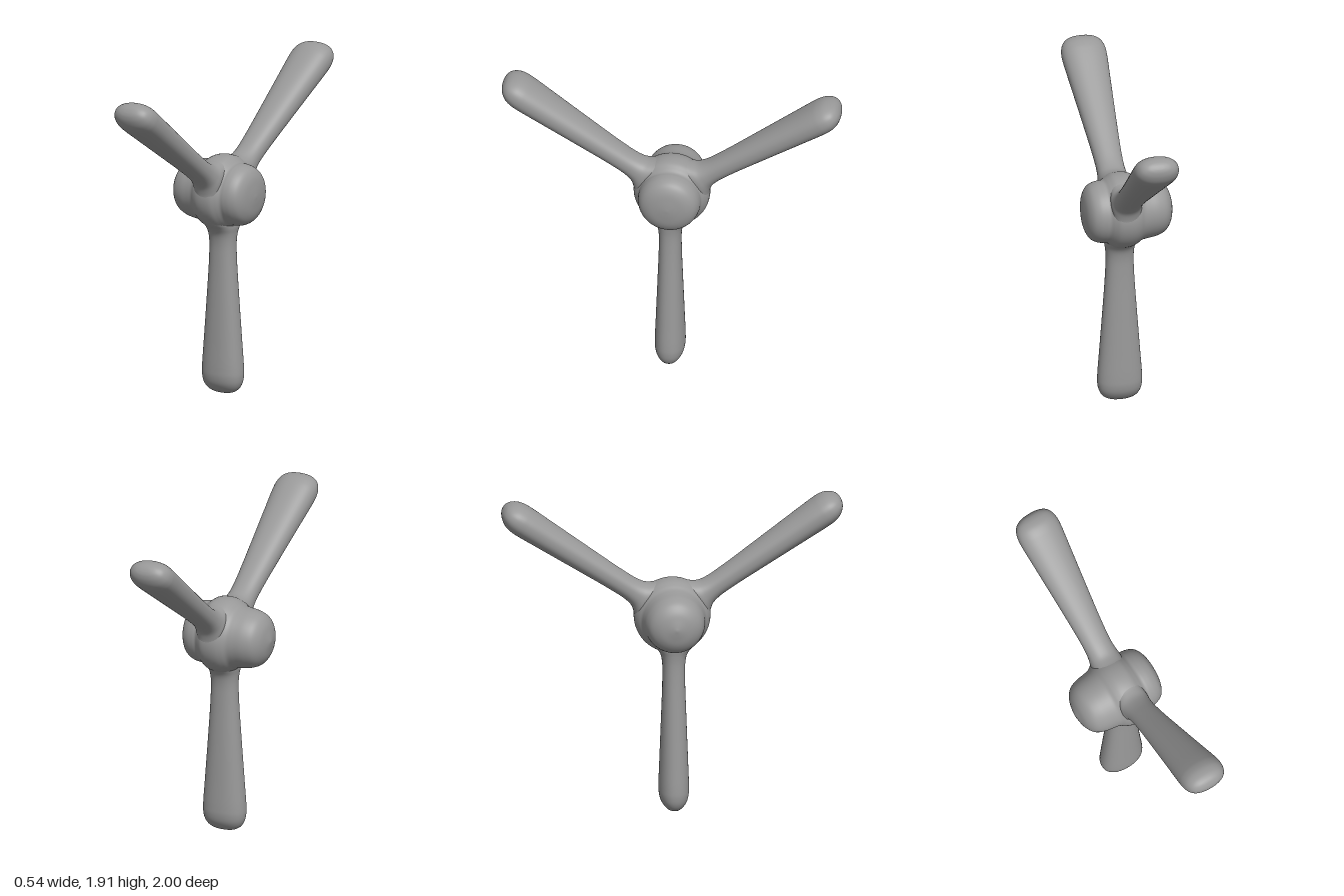
import * as THREE from 'three';
import { mergeVertices } from 'three/addons/utils/BufferGeometryUtils.js';

const material = new THREE.MeshStandardMaterial({ color: 0x999999 });
const HUB_Y = 1.2;
const BLADE_X = 0.042;

// Weld the seam so the shading stays smooth all round
function smooth(geometry) {
  geometry.deleteAttribute('uv');
  geometry.deleteAttribute('normal');
  const welded = mergeVertices(geometry, 1e-5);
  welded.computeVertexNormals();
  return welded;
}

// Smooth curve through rows of three numbers
function sample(rows, count) {
  const points = rows.map((r) => new THREE.Vector3(...r));
  return new THREE.CatmullRomCurve3(points, false, 'centripetal').getPoints(count);
}

// Hub: turned body along x, with a raised collar that carries the blades
function createHub() {
  const profile = sample([
    [0, -0.27, 0], [0.05, -0.26, 0], [0.105, -0.243, 0], [0.148, -0.21, 0],
    [0.17, -0.16, 0], [0.18, -0.1, 0], [0.188, -0.065, 0], [0.205, -0.038, 0],
    [0.219, -0.005, 0], [0.224, 0.04, 0], [0.218, 0.085, 0], [0.2, 0.115, 0],
    [0.185, 0.137, 0], [0.183, 0.16, 0], [0.176, 0.195, 0], [0.156, 0.229, 0],
    [0.115, 0.253, 0], [0.055, 0.265, 0], [0, 0.27, 0],
  ], 90).map((p) => new THREE.Vector2(Math.max(p.x, 0), p.y));
  const geometry = smooth(new THREE.LatheGeometry(profile, 64));
  geometry.rotateZ(-Math.PI / 2);
  const hub = new THREE.Mesh(geometry, material);
  hub.name = 'hub';
  hub.position.y = HUB_Y;
  return hub;
}

// Blade: rounded oval sections along y; rows are half width, distance, half thickness
function createBladeGeometry() {
  const rows = sample([
    [0.08, 0.1, 0.188], [0.086, 0.14, 0.165], [0.09, 0.172, 0.138],
    [0.091, 0.202, 0.105], [0.086, 0.237, 0.08], [0.082, 0.29, 0.068],
    [0.085, 0.4, 0.066], [0.102, 0.65, 0.074], [0.121, 0.9, 0.083],
    [0.132, 1.05, 0.088], [0.132, 1.095, 0.087], [0.124, 1.136, 0.078],
    [0.104, 1.17, 0.058], [0.072, 1.19, 0.036], [0.037, 1.198, 0.017], [0, 1.2, 0],
  ], 90);
  const segments = 48;
  const geometry = new THREE.LatheGeometry(
    rows.map((r) => new THREE.Vector2(1, r.y)), segments);
  const position = geometry.attributes.position;
  const bulge = (v) => Math.sign(v) * Math.abs(v) ** 0.9;
  for (let i = 0; i < position.count; i++) {
    const row = rows[i % rows.length];
    const angle = ((Math.floor(i / rows.length) % segments) / segments) * Math.PI * 2;
    position.setXYZ(i, bulge(Math.sin(angle)) * row.x, row.y, bulge(Math.cos(angle)) * row.z);
  }
  return smooth(geometry);
}

export function createModel() {
  const model = new THREE.Group();
  model.name = 'propeller';
  model.add(createHub());

  // Three blades around the hub: front, back and bottom
  const geometry = createBladeGeometry();
  const tilt = THREE.MathUtils.degToRad(55.3);
  const blades = { frontBlade: tilt, backBlade: -tilt, lowerBlade: Math.PI };
  for (const [name, angle] of Object.entries(blades)) {
    const blade = new THREE.Mesh(geometry, material);
    blade.name = name;
    blade.position.set(BLADE_X, HUB_Y, name === 'lowerBlade' ? 0.01 : 0);
    blade.rotation.x = angle;
    model.add(blade);
  }
  return model;
}
